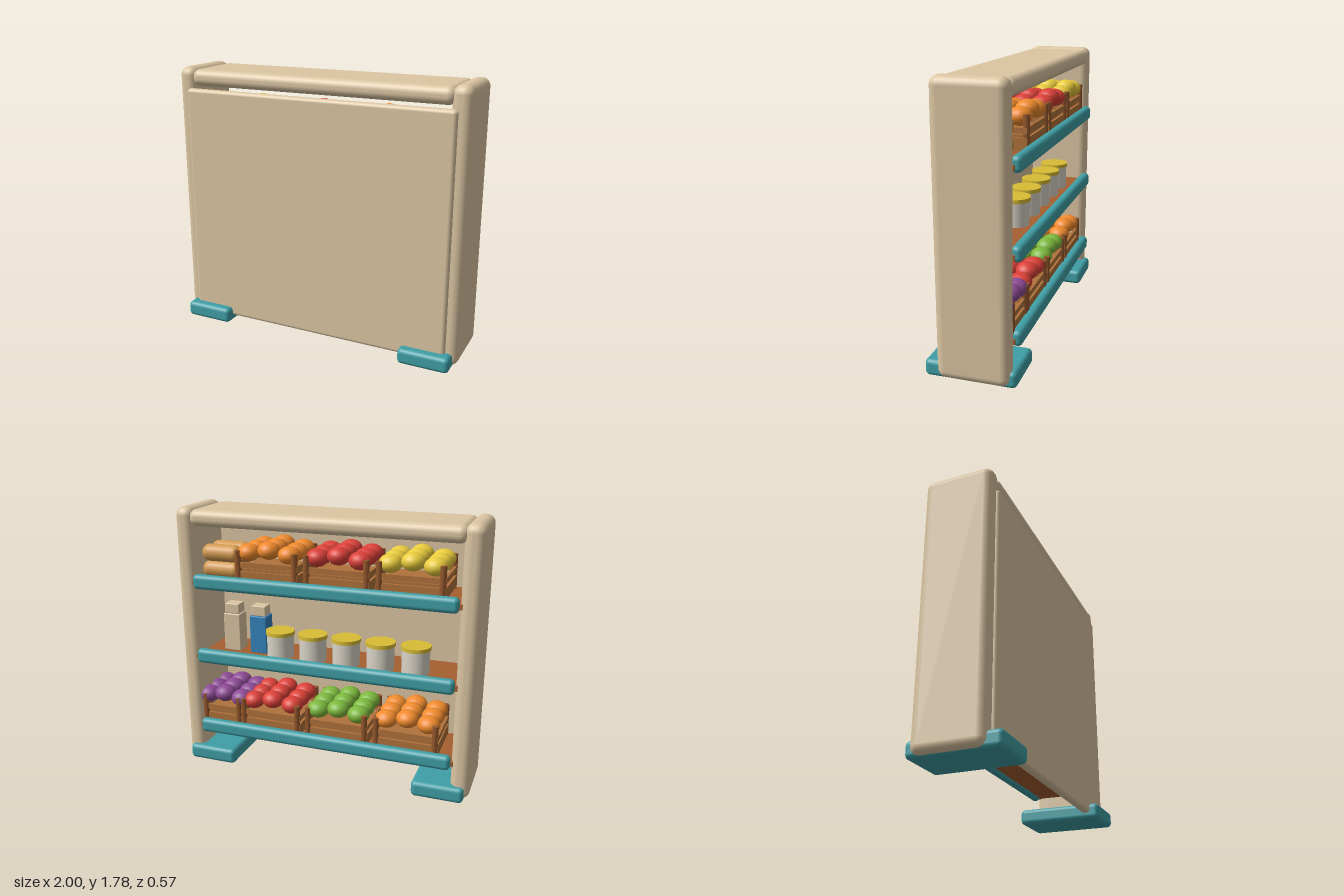
import * as THREE from 'three';
import { RoundedBoxGeometry } from 'three/addons/geometries/RoundedBoxGeometry.js';

const mat = (color) => new THREE.MeshStandardMaterial({ color });
const M = {
  wood: mat(0xdcc6a3), teal: mat(0x3f9fa6), board: mat(0xa5602f), crate: mat(0xb0713a), post: mat(0x94572c),
  can: mat(0xd9d4c8), lid: mat(0xd9bd35), blue: mat(0x3583bd), bread: mat(0xd39a4e),
  orange: mat(0xf08a2c), red: mat(0xdc4038), yellow: mat(0xe8cb3c), green: mat(0x7cb83c), purple: mat(0x8e4a96),
};

function add(parent, name, geometry, material, x, y, z) {
  const mesh = new THREE.Mesh(geometry, material);
  mesh.name = name;
  mesh.position.set(x, y, z);
  parent.add(mesh);
  return mesh;
}

// box given by its minimum and maximum corners, rounded when r > 0
function box(parent, name, material, [x0, y0, z0], [x1, y1, z1], r = 0) {
  const size = [x1 - x0, y1 - y0, z1 - z0];
  const geo = r ? new RoundedBoxGeometry(...size, 4, r) : new THREE.BoxGeometry(...size);
  return add(parent, name, geo, material, (x0 + x1) / 2, (y0 + y1) / 2, (z0 + z1) / 2);
}

// slatted crate heaped with produce
function produceCrate(fruit, width, step) {
  const g = new THREE.Group();
  g.name = 'produceCrate';
  const w = width / 2, d = 0.18;
  box(g, 'crateBase', M.crate, [-w + 0.02, 0, -d + 0.02], [w - 0.02, 0.1, d - 0.02]);
  for (const [lo, hi] of [[0.01, 0.085], [0.11, 0.145]]) {
    for (const s of [-1, 1]) {
      add(g, 'crateLongSlat', new THREE.BoxGeometry(width, hi - lo, 0.018), M.crate, 0, (lo + hi) / 2, s * d);
      add(g, 'crateEndSlat', new THREE.BoxGeometry(0.018, hi - lo, d * 2), M.crate, s * (w - 0.009), (lo + hi) / 2, 0);
    }
  }
  for (const sx of [-1, 1]) for (const sz of [-1, 1])
    add(g, 'cratePost', new THREE.CylinderGeometry(0.02, 0.02, 0.22, 12), M.post, sx * (w - 0.02), 0.11, sz * d);
  const ball = new THREE.SphereGeometry(0.074, 20, 14).scale(1, 0.78, 1);
  for (let i = -1; i <= 1; i++) for (let j = -1; j <= 1; j++)
    add(g, 'fruit', ball, fruit, i * step, i === 0 ? 0.22 : 0.2, j * 0.125);
  return g;
}

function carton(material) {
  const g = new THREE.Group();
  g.name = 'carton';
  box(g, 'cartonBody', material, [-0.06, 0, -0.055], [0.06, 0.26, 0.055], 0.006);
  box(g, 'cartonTop', M.wood, [-0.052, 0.26, -0.045], [0.052, 0.33, 0.045], 0.006);
  return g;
}

function can() {
  const g = new THREE.Group();
  g.name = 'can';
  add(g, 'canBody', new THREE.CylinderGeometry(0.09, 0.09, 0.16, 32), M.can, 0, 0.08, 0);
  add(g, 'canLid', new THREE.CylinderGeometry(0.097, 0.097, 0.025, 32), M.lid, 0, 0.1675, 0);
  return g;
}

export function createModel() {
  const root = new THREE.Group();
  root.name = 'marketShelf';
  const put = (obj, x, y, z) => { obj.position.set(x, y, z); root.add(obj); };

  // frame: sides, feet, header and closed panel
  for (const s of [-1, 1]) {
    const side = box(root, 'sidePanel', M.wood, [0.875, 0.008, -0.25], [1, 1.777, 0.2], 0.055);
    const foot = box(root, 'foot', M.teal, [0.63, 0, -0.285], [0.97, 0.105, 0.285], 0.03);
    side.position.x *= s;
    foot.position.x *= s;
  }
  box(root, 'header', M.wood, [-0.9, 1.655, -0.25], [0.9, 1.765, 0.2], 0.05);
  box(root, 'closedPanel', M.wood, [-0.925, 0.04, 0.165], [0.925, 1.64, 0.225], 0.025);

  // shelves with a rounded lip on the open side
  const levels = [0.27, 0.785, 1.3];
  for (const y of levels) {
    box(root, 'shelfBoard', M.board, [-0.89, y - 0.03, -0.25], [0.89, y, 0.18]);
    box(root, 'shelfLip', M.teal, [-0.875, y - 0.05, -0.287], [0.875, y + 0.048, -0.22], 0.03);
  }

  // crates on the lower and upper shelves
  const z = -0.04, xs = [0.37, -0.1, -0.57];
  [['red', 'green', 'orange'], ['orange', 'red', 'yellow']].forEach((row, k) =>
    row.forEach((name, i) => put(produceCrate(M[name], 0.43, 0.14), xs[i], levels[k * 2], z)));
  put(produceCrate(M.purple, 0.29, 0.125), 0.73, levels[0], z);

  // cans and cartons on the middle shelf
  for (let i = 0; i < 5; i++) put(can(), 0.342 - i * 0.233, levels[1], -0.08);
  put(carton(M.wood), 0.695, levels[1], -0.04);
  put(carton(M.blue), 0.5, levels[1], -0.04);

  // stacked bread loaves on the upper shelf
  const loaf = new THREE.CapsuleGeometry(0.058, 0.17, 8, 20).rotateZ(Math.PI / 2);
  for (const y of [0.058, 0.168]) for (const lz of [-0.11, 0.02])
    add(root, 'breadLoaf', loaf, M.bread, 0.73, levels[2] + y, lz);

  return root;
}
